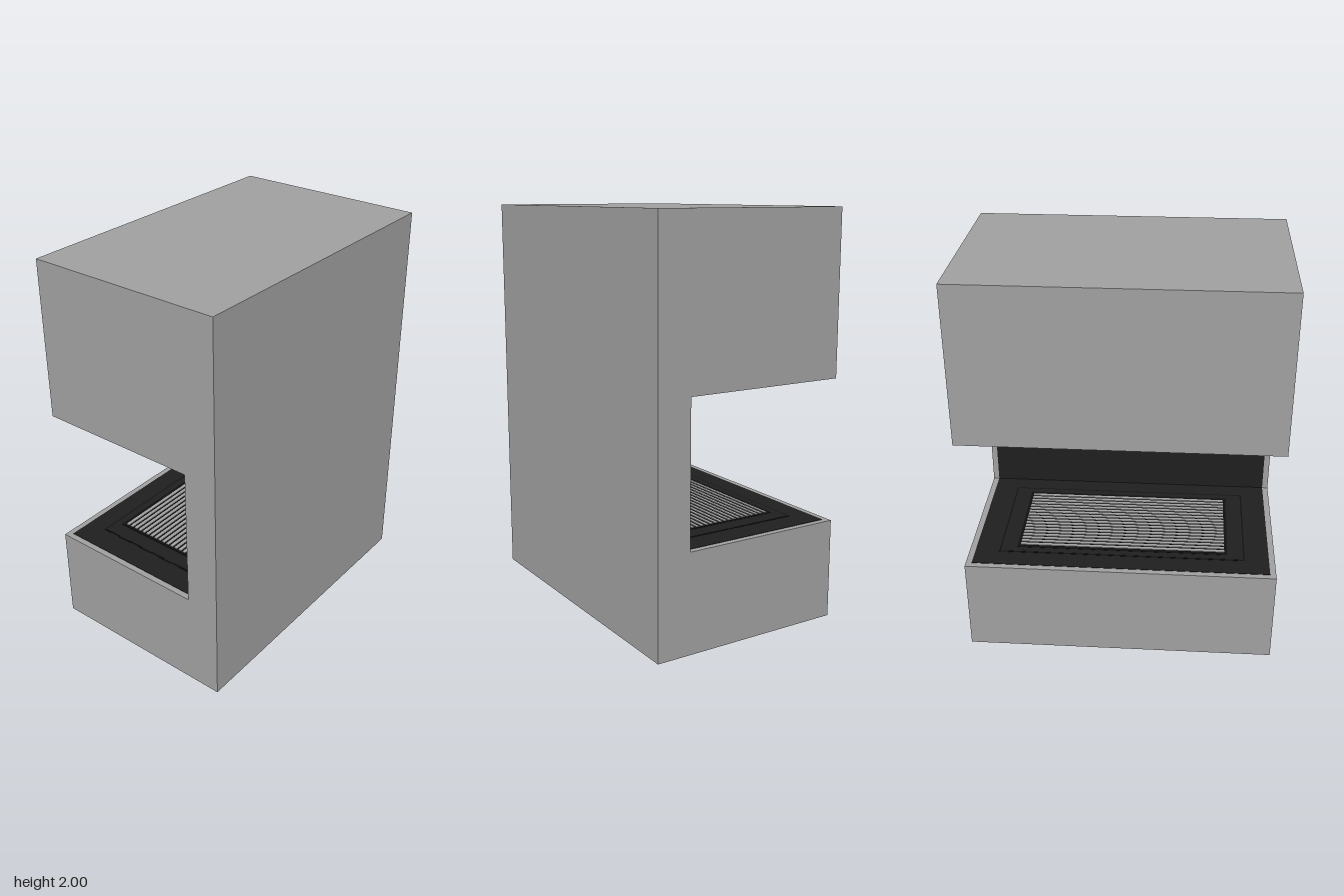
import * as THREE from 'three';

export function createModel() {
  const model = new THREE.Group();
  const casingGrey = new THREE.MeshStandardMaterial({ color: 0xa0a0a0 });
  casingGrey.name = 'casing grey';
  const liningBlack = new THREE.MeshStandardMaterial({ color: 0x1f1f1f });
  liningBlack.name = 'lining black';
  const grooveBlack = new THREE.MeshStandardMaterial({ color: 0x101010 });
  grooveBlack.name = 'groove black';

  const W = 1.56, FLOOR = 0.495, CEIL = 1.2, WALL = 0.33, RIM = 0.03, T = 0.002;

  const add = (name, geometry, material, parent = model) => {
    const mesh = new THREE.Mesh(geometry, material);
    mesh.name = name;
    parent.add(mesh);
    return mesh;
  };
  // Box given by its width and its limits in y and z, centred on x
  const slab = (name, w, y0, y1, z0, z1, material, parent) => {
    const mesh = add(name, new THREE.BoxGeometry(w, y1 - y0, z1 - z0), material, parent);
    mesh.position.set(0, (y0 + y1) / 2, (z0 + z1) / 2);
    return mesh;
  };

  // Casing: C-shaped side profile, open on three sides, extruded across the width
  const profile = new THREE.Shape([
    [-0.5, 0], [0.5, 0], [0.5, 2], [-0.5, 2],
    [-0.5, CEIL], [WALL, CEIL], [WALL, FLOOR], [-0.5, FLOOR],
  ].map(([z, y]) => new THREE.Vector2(z, y)));
  const casing = new THREE.ExtrudeGeometry(profile, { depth: W, bevelEnabled: false });
  casing.translate(0, 0, -W / 2).rotateY(-Math.PI / 2);
  add('casing', casing, casingGrey);

  // Dark lining, leaving a narrow rim of casing at the open edges
  const inner = W - 2 * RIM;
  slab('floorLining', inner, FLOOR, FLOOR + T, -0.5 + RIM, WALL, liningBlack);
  slab('ceilingLining', inner, CEIL - T, CEIL, -0.5 + RIM, WALL, liningBlack);
  slab('wallLining', inner, FLOOR, CEIL, WALL - T, WALL, liningBlack);

  // Burner: stepped surround with fine groove lines
  const burner = new THREE.Group();
  burner.name = 'burner';
  model.add(burner);
  const zMid = -0.065;
  const layer = (name, w, d, top, material) =>
    slab(name, w, FLOOR, top, zMid - d / 2, zMid + d / 2, material, burner);
  layer('outerGroove', 1.255, 0.605, 0.498, grooveBlack);
  layer('surround', 1.24, 0.59, 0.499, liningBlack);
  layer('innerGroove', 1.08, 0.52, 0.5, grooveBlack);

  // Grate: slats running along the width
  const slats = 18, depth = 0.49, pitch = depth / slats;
  for (let i = 0; i < slats; i++) {
    const z = zMid - depth / 2 + (i + 0.5) * pitch;
    slab('grateSlat', 1.05, 0.499, 0.503, z - pitch * 0.32, z + pitch * 0.32, casingGrey, burner);
  }
  return model;
}
